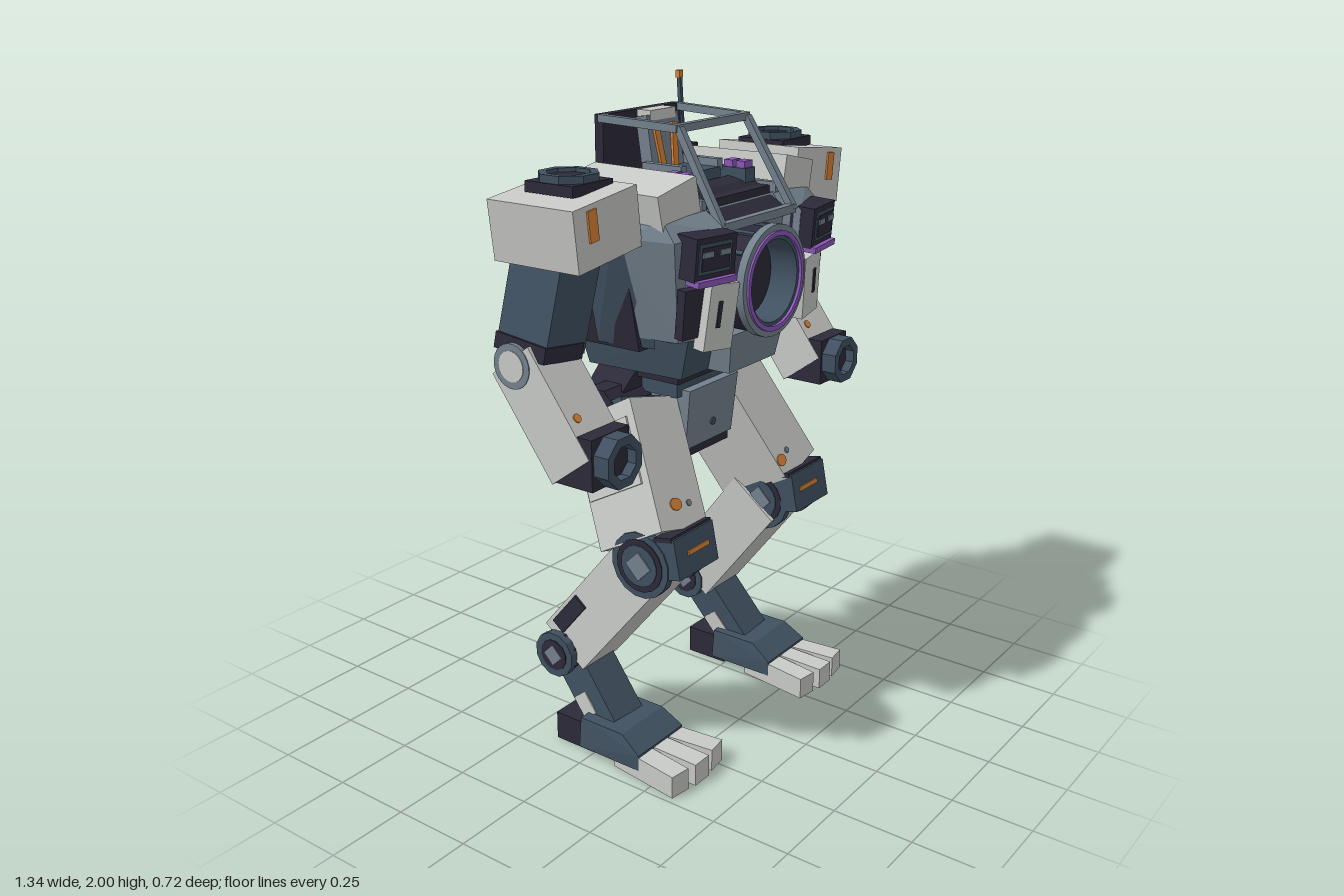
import * as THREE from 'three';
import { toCreasedNormals } from 'three/addons/utils/BufferGeometryUtils.js';
import { ConvexGeometry } from 'three/addons/geometries/ConvexGeometry.js';

const paint = (name, color) => Object.assign(new THREE.MeshStandardMaterial({ color }), { name });
const light = paint('light armour', 0xc8cac7), steel = paint('steel grey', 0x74828e);
const slate = paint('slate blue', 0x405161), dark = paint('dark frame', 0x2c2a39);
const orange = paint('orange', 0xd98236), purple = paint('purple glow', 0x8b58b8);

const V = (p) => new THREE.Vector3(...p);

function add(parent, name, geo, mat, pos = [0, 0, 0], rot = [0, 0, 0]) {
  const m = new THREE.Mesh(geo, mat);
  m.name = name;
  m.position.set(...pos);
  m.rotation.set(...rot);
  parent.add(m);
  return m;
}
const box = (parent, name, mat, size, pos, rot) =>
  add(parent, name, new THREE.BoxGeometry(...size), mat, pos, rot);

// Cylinder along 'x', 'y' or 'z', with flat octagon sides or smooth round ones
function disc(parent, name, mat, r, len, pos, axis = 'x', sides = 8) {
  const g = new THREE.CylinderGeometry(r, r, len, sides).rotateY(Math.PI / sides);
  if (axis === 'x') g.rotateZ(-Math.PI / 2);
  if (axis === 'z') g.rotateX(Math.PI / 2);
  return add(parent, name, toCreasedNormals(g, 0.5), mat, pos);
}

// Hollow ring facing +z (profile is a closed rectangle)
function ring(parent, name, mat, rIn, rOut, len, pos, sides = 32, rot = [0, 0, 0]) {
  const p = [[rIn, 0], [rOut, 0], [rOut, len], [rIn, len], [rIn, 0]].map((q) => new THREE.Vector2(...q));
  const g = new THREE.LatheGeometry(p, sides).rotateY(Math.PI / sides).rotateX(Math.PI / 2);
  return add(parent, name, toCreasedNormals(g, 0.5), mat, pos, rot);
}

// Box beam running from a (bottom) to b (top); local +z stays towards the front
function beam(parent, name, mat, a, b, w, d) {
  const A = V(a), B = V(b), y = B.clone().sub(A), len = y.length();
  y.normalize();
  const z = new THREE.Vector3(1, 0, 0).cross(y).normalize(), x = y.clone().cross(z);
  const m = box(parent, name, mat, [w, len, d], A.add(B).multiplyScalar(0.5).toArray());
  m.quaternion.setFromRotationMatrix(new THREE.Matrix4().makeBasis(x, y, z));
  return m;
}

// Faceted solid from corner points; mirrored across x unless a side is given
function hull(parent, name, mat, pts, s = 0) {
  const all = s ? pts.map(([x, y, z]) => V([x * s, y, z]))
    : pts.flatMap(([x, y, z]) => [V([x, y, z]), V([-x, y, z])]);
  return add(parent, name, new ConvexGeometry(all), mat);
}

function group(parent, name, pos = [0, 0, 0], rot = [0, 0, 0]) {
  const g = new THREE.Group();
  g.name = name;
  g.position.set(...pos);
  g.rotation.set(...rot);
  parent.add(g);
  return g;
}

function buildTorso(root) {
  const t = group(root, 'torso');
  hull(t, 'rearHull', dark, [[.34, 1.29, -.19], [.34, 1.29, .12], [.4, 1.62, -.22], [.39, 1.62, .1],
    [.35, 1.67, -.21], [.35, 1.67, .1]]);
  hull(t, 'chestHull', steel, [[.3, 1.32, -.05], [.3, 1.32, .21], [.36, 1.62, -.16], [.34, 1.62, .25],
    [.35, 1.685, -.17], [.34, 1.685, .2]]);
  hull(t, 'belly', slate, [[.27, 1.2, -.12], [.25, 1.2, .2], [.29, 1.33, -.15], [.27, 1.33, .24]]);
  hull(t, 'bellyPlate', steel, [[.12, 1.2, .18], [.12, 1.2, .275], [.14, 1.32, .18], [.14, 1.32, .295]]);
  // Round chest port
  ring(t, 'portSleeve', dark, .135, .155, .13, [0, 1.46, .2]);
  ring(t, 'portFace', steel, .142, .163, .025, [0, 1.46, .322]);
  ring(t, 'portGlow', purple, .131, .145, .03, [0, 1.46, .324]);
  ring(t, 'portLining', slate, .12, .136, .1, [0, 1.46, .245]);
  disc(t, 'portFloor', dark, .14, .01, [0, 1.46, .25], 'z', 32);
  for (let i = -2; i <= 2; i++) {
    const a = i * .45;
    box(t, 'portRib', slate, [.012, .012, .09], [Math.sin(a) * .157, 1.46 + Math.cos(a) * .157, .275], [0, 0, -a]);
  }
  for (const s of [1, -1]) {
    hull(t, 'chestPod', steel, [[.19, 1.63, .31], [.37, 1.62, .265], [.4, 1.62, .08], [.19, 1.63, 0], [.19, 1.68, .24],
      [.36, 1.67, .22], [.36, 1.67, .05], [.19, 1.33, .29], [.32, 1.33, .24], [.34, 1.33, .08], [.19, 1.33, 0]], s);
    hull(t, 'flank', slate, [[.36, 1.6, .2], [.405, 1.62, .08], [.4, 1.62, -.04], [.32, 1.3, .16], [.35, 1.3, -.02]], s);
    // Lamp, glow strip and armour plate on the angled pod face
    const f = group(t, 'podFace', [.27 * s, 1.48, .285], [.08, .15 * s, 0]);
    box(f, 'lampHousing', dark, [.155, .12, .075], [0, .1, .005]);
    box(f, 'lampFrame', slate, [.125, .085, .01], [.005 * s, .102, .041]);
    box(f, 'lampPanel', dark, [.106, .065, .01], [.005 * s, .102, .044]);
    for (const x of [-.028, .038]) box(f, 'lamp', steel, [.04, .016, .008], [x * s, .115, .048]);
    box(f, 'glowStrip', purple, [.15, .018, .05], [0, .036, .032]);
    box(f, 'lowerFrame', dark, [.14, .14, .03], [.01 * s, -.06, .0]);
    box(f, 'frontPlate', light, [.112, .19, .04], [-.042 * s, -.075, .022], [0, 0, .08 * s]);
    box(f, 'plateSlot', dark, [.014, .075, .006], [-.03 * s, -.065, .043], [0, 0, .08 * s]);
    box(t, 'collarPlate', light, [.165, .14, .37], [.285 * s, 1.693, .045], [0, .05 * s, -.22 * s]);
  }
  // Radiator packs on the back
  box(t, 'centrePack', dark, [.28, .36, .12], [0, 1.5, -.23]);
  box(t, 'lowerBackRail', dark, [.6, .05, .04], [0, 1.34, -.2]);
  for (const s of [1, -1]) {
    const p = group(t, 'sidePack', [.252 * s, 1.515, -.26], [0, -.03 * s, 0]);
    box(p, 'packBody', steel, [.172, .3, .115]);
    box(p, 'packVent', dark, [.135, .27, .008], [0, 0, -.057]);
    box(p, 'packTopStrip', dark, [.14, .008, .05], [0, .151, -.03]);
    for (let i = 0; i < 7; i++) box(p, 'louvre', steel, [.13, .014, .022], [0, -.115 + i * .038, -.062], [.5, 0, 0]);
    box(t, 'backBar', steel, [.036, .37, .075], [.098 * s, 1.495, -.322]);
  }
  for (let i = 0; i < 8; i++) box(t, 'centreLouvre', slate, [.155, .014, .025], [0, 1.36 + i * .04, -.295], [.5, 0, 0]);
}

function buildCockpit(root) {
  const c = group(root, 'cockpit');
  box(c, 'cockpitFloor', dark, [.36, .03, .42], [0, 1.68, 0]);
  hull(c, 'dashboard', dark, [[.18, 1.62, .1], [.18, 1.62, .285], [.17, 1.72, .1], [.17, 1.71, .15]]);
  box(c, 'rearWall', dark, [.37, .24, .03], [0, 1.79, -.14]);
  // Seat
  box(c, 'seatBase', slate, [.17, .06, .15], [0, 1.72, .02]);
  box(c, 'seatBack', steel, [.15, .18, .04], [0, 1.81, -.06], [-.15, 0, 0]);
  box(c, 'headrest', light, [.12, .03, .05], [0, 1.9, -.075]);
  for (const s of [1, -1]) {
    box(c, 'seatStrap', orange, [.024, .125, .008], [.036 * s, 1.812, -.036], [-.15, 0, -.13 * s]);
    box(c, 'armrest', steel, [.025, .035, .14], [.09 * s, 1.755, .02]);
    box(c, 'console', slate, [.05, .06, .1], [.145 * s, 1.715, .11]);
    for (const z of [.095, .138]) box(c, 'screen', purple, [.042, .03, .03], [.145 * s, 1.75, z]);
    beam(c, 'frontPillar', steel, [.18 * s, 1.63, .29], [.165 * s, 1.89, .13], .022, .022);
    beam(c, 'roofRail', steel, [.17 * s, 1.89, .13], [.18 * s, 1.9, -.14], .022, .022);
    box(c, 'sideSill', steel, [.022, .03, .42], [.185 * s, 1.69, .02]);
  }
  box(c, 'roofCrossbar', steel, [.35, .022, .022], [0, 1.89, .125]);
  box(c, 'frontSill', steel, [.36, .025, .025], [0, 1.635, .285]);
  box(c, 'antennaBase', dark, [.06, .09, .065], [.217, 1.74, -.135]);
  beam(c, 'antenna', slate, [.217, 1.72, -.135], [.228, 1.98, -.16], .012, .012);
  box(c, 'antennaTip', orange, [.016, .022, .016], [.229, 1.989, -.162]);
}

function buildArm(root, s) {
  const a = group(root, s > 0 ? 'leftArm' : 'rightArm');
  // Shoulder block with its top hatch
  const sh = group(a, 'shoulder', [.522 * s, 1.673, .018], [0, 0, -.125 * s]);
  box(sh, 'shoulderBlock', light, [.263, .17, .295]);
  box(sh, 'shoulderMark', orange, [.035, .085, .008], [.062 * s, .028, .149]);
  box(a, 'shoulderLink', dark, [.12, .1, .16], [.39 * s, 1.63, 0]);
  box(a, 'hatchBase', dark, [.165, .03, .165], [.5 * s, 1.77, .015]);
  ring(a, 'hatchRing', slate, .062, .085, .03, [.5 * s, 1.776, .015], 8, [-Math.PI / 2, 0, 0]);
  disc(a, 'hatchLid', dark, .065, .02, [.5 * s, 1.785, .015], 'y');
  // Arm and elbow
  beam(a, 'upperArm', slate, [.564 * s, 1.33, -.045], [.51 * s, 1.62, -.015], .165, .175);
  beam(a, 'elbowBlock', dark, [.576 * s, 1.315, -.045], [.57 * s, 1.36, -.04], .162, .18);
  disc(a, 'elbowRing', steel, .064, .174, [.579 * s, 1.295, -.062], 'x', 24);
  disc(a, 'elbowCap', light, .044, .178, [.579 * s, 1.295, -.062], 'x', 24);
  const f = box(a, 'forearm', light, [.163, .345, .164], [.582 * s, 1.172, .034], [-.64, 0, 0]);
  disc(f, 'forearmMark', orange, .013, .006, [-.045, -.055, .083], 'z', 12);
  // Wrist gun
  box(a, 'gunBody', dark, [.158, .148, .13], [.582 * s, 1.066, .145]);
  ring(a, 'gunMuzzle', slate, .05, .077, .065, [.582 * s, 1.067, .195], 8);
  disc(a, 'gunBore', dark, .055, .02, [.582 * s, 1.067, .22], 'z');
}

function buildLeg(root, s) {
  const l = group(root, s > 0 ? 'leftLeg' : 'rightLeg');
  disc(l, 'hipJoint', dark, .08, .17, [.22 * s, 1.06, -.07]);
  const th = beam(l, 'thigh', light, [.314 * s, .72, .15], [.22 * s, 1.058, -.035], .2, .255);
  box(th, 'thighPlate', light, [.012, .2, .22], [.1 * s, .05, -.01]);
  box(th, 'thighBackPlate', light, [.1, .15, .012], [.02 * s, .01, -.128]);
  box(th, 'thighTopCap', slate, [.17, .02, .2], [0, .205, -.02]);
  // Paint marks sit differently on each leg
  const mark = disc(th, 'thighMark', orange, .022, .006, [s > 0 ? -.074 : -.016, s > 0 ? -.135 : -.125, .128], 'z', 12);
  mark.scale.set(1.1, .85, 1);
  disc(th, 'thighSpot', steel, .01, .006, [s > 0 ? -.025 : .04, -.125, .128], 'z', 12);
  // Knee
  disc(l, 'kneeAxle', dark, .06, .18, [.313 * s, .675, .17]);
  for (const i of [-1, 1]) {
    const x = .313 * s + i * .082;
    disc(l, 'kneeJoint', slate, .102, .03, [x, .675, .17], 'x', 16);
    disc(l, 'kneeRing', dark, .082, .036, [x, .675, .17], 'x', 16);
    disc(l, 'kneeDisc', slate, .064, .042, [x, .675, .17], 'x', 16);
    box(l, 'kneeBolt', steel, [.05, .064, .064], [x, .675, .17], [Math.PI / 4, 0, 0]);
  }
  const pad = box(l, 'kneePad', slate, [.19, .12, .075], [.31 * s, .715, .262], [-.2, 0, 0]);
  box(pad, 'kneeMark', orange, [.1, .014, .006], [-.01 * s, .005, .039]);
  box(pad, 'kneePadTrim', dark, [.194, .014, .06], [0, .06, 0]);
  // Shin and ankle
  const shin = beam(l, 'shin', light, [.33 * s, .32, -.125], [.288 * s, .68, .16], .178, .185);
  box(shin, 'shinVent', dark, [.194, .13, .05], [0, -.13, -.055]);
  disc(l, 'ankleAxle', dark, .073, .17, [.338 * s, .3, -.142]);
  for (const i of [-1, 1]) {
    const x = .338 * s + i * .092;
    disc(l, 'ankleJoint', slate, .073, .026, [x, .3, -.142], 'x', 12);
    disc(l, 'ankleRing', dark, .05, .032, [x, .3, -.142], 'x', 12);
    box(l, 'ankleBolt', steel, [.038, .048, .048], [x, .3, -.142], [Math.PI / 4, 0, 0]);
  }
  const an = beam(l, 'ankleStrut', slate, [.35 * s, .09, .03], [.335 * s, .3, -.142], .13, .115);
  box(an, 'anklePlate', light, [.138, .075, .055], [0, -.05, -.025]);
  // Foot
  const ft = group(l, 'foot', [.353 * s, 0, 0]);
  hull(ft, 'footBlock', slate, [[.11, .03, -.03], [.11, .03, .2], [.1, .125, -.03], [.1, .125, .13], [.11, .08, .2]]);
  box(ft, 'heel', dark, [.15, .09, .145], [0, .045, -.077]);
  box(ft, 'heelGlow', purple, [.11, .018, .008], [0, .035, -.151]);
  for (const i of [-1, 0, 1]) {
    const toe = hull(ft, 'toe', light, [[.034, 0, 0], [.034, 0, .245], [.034, .075, 0], [.034, .07, .245]]);
    toe.position.set(i * .062, 0, i ? .1 : .11);
    toe.rotation.y = i * .13;
  }
}

function buildPelvis(root) {
  const p = group(root, 'pelvis');
  box(p, 'waist', dark, [.34, .05, .26], [0, 1.175, 0]);
  box(p, 'waistRing', slate, [.3, .06, .22], [0, 1.13, 0]);
  hull(p, 'pelvisBlock', steel, [[.12, .93, -.04], [.12, .93, .12], [.122, 1.12, -.12], [.125, 1.12, .14]]);
  box(p, 'pelvisBase', dark, [.235, .03, .14], [0, .915, .04]);
  disc(p, 'pelvisBolt', slate, .012, .008, [.01, .99, .128], 'z');
  hull(p, 'rearHipBlock', dark, [[.22, 1.04, -.02], [.2, 1.04, -.13], [.24, 1.12, -.02], [.23, 1.12, -.16],
    [.165, 1.18, -.02], [.165, 1.18, -.16]]);
  box(p, 'rearHipBar', steel, [.28, .03, .03], [0, 1.115, -.155]);
}

export function createModel() {
  const root = new THREE.Group();
  root.name = 'walkerRobot';
  buildTorso(root);
  buildCockpit(root);
  buildPelvis(root);
  for (const s of [1, -1]) {
    buildArm(root, s);
    buildLeg(root, s);
  }
  return root;
}
